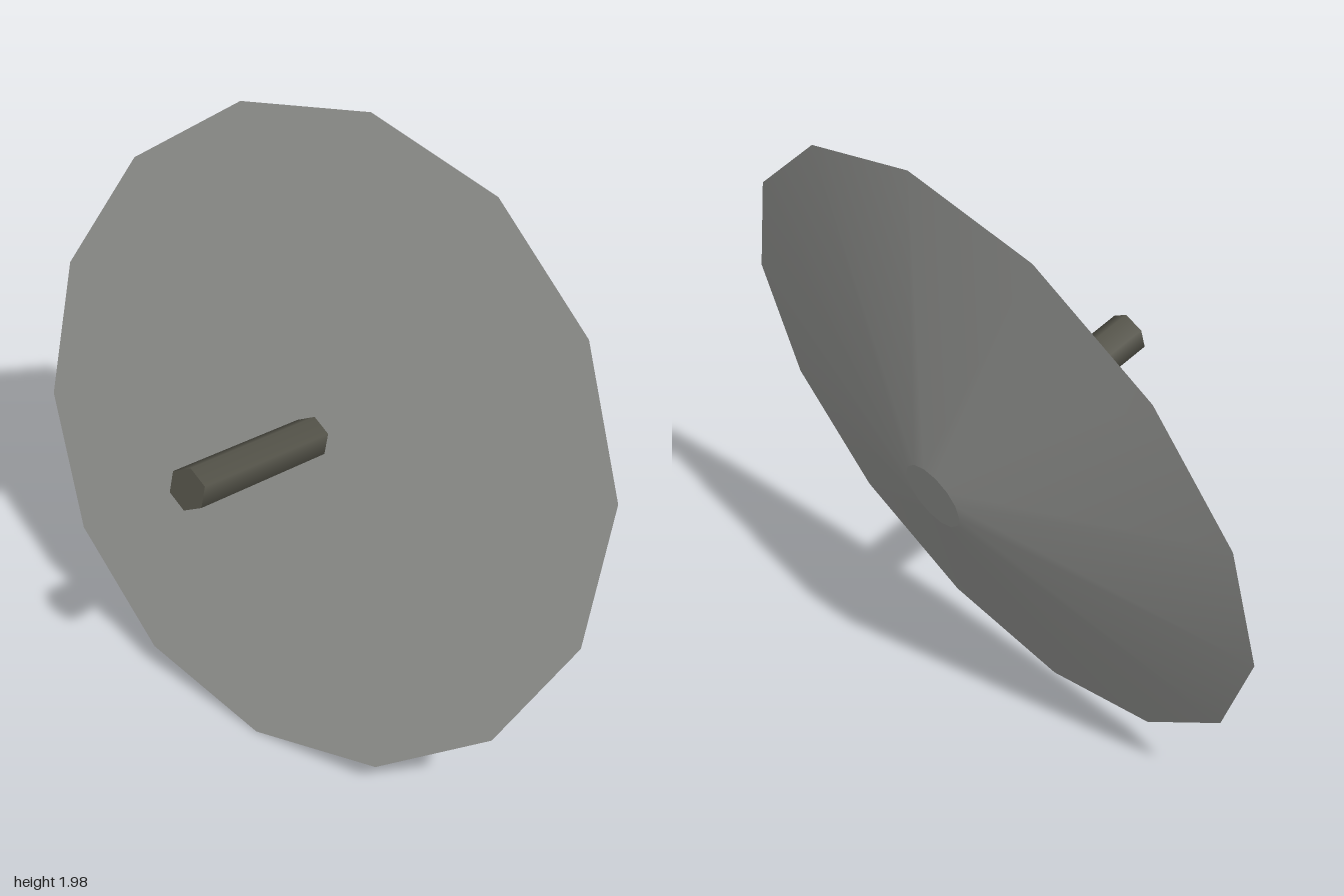
import * as THREE from 'three';

const TILT = THREE.MathUtils.degToRad(15);

export function createModel() {
  const model = new THREE.Group();
  const dishGrey = new THREE.MeshStandardMaterial({ color: 0x9c9d9a });
  dishGrey.name = 'dishGrey';
  const stemGrey = new THREE.MeshStandardMaterial({ color: 0x55544a });
  stemGrey.name = 'stemGrey';

  // Tilted assembly: local +z is the dish axis, origin at the centre of its front face
  const antenna = new THREE.Group();
  antenna.name = 'antenna';
  antenna.position.set(0, 0.991, -0.155);
  antenna.rotation.x = -TILT;
  model.add(antenna);

  // Cylinder along z, from back to front
  function addRod(name, frontRadius, backRadius, z0, z1, sides, y, material) {
    const geometry = new THREE.CylinderGeometry(frontRadius, backRadius, z1 - z0, sides);
    geometry.rotateX(Math.PI / 2);
    const mesh = new THREE.Mesh(geometry, material);
    mesh.name = name;
    mesh.position.set(0, y, (z0 + z1) / 2);
    antenna.add(mesh);
  }

  // Shallow 14-sided cone with a flat front and a small flat back
  addRod('dish', 1.0257, 0.111, -0.225, 0, 14, 0, dishGrey);
  // Six-sided stem standing out of the front face
  addRod('stem', 0.066, 0.066, -0.02, 0.587, 6, 0.022, stemGrey);

  return model;
}
